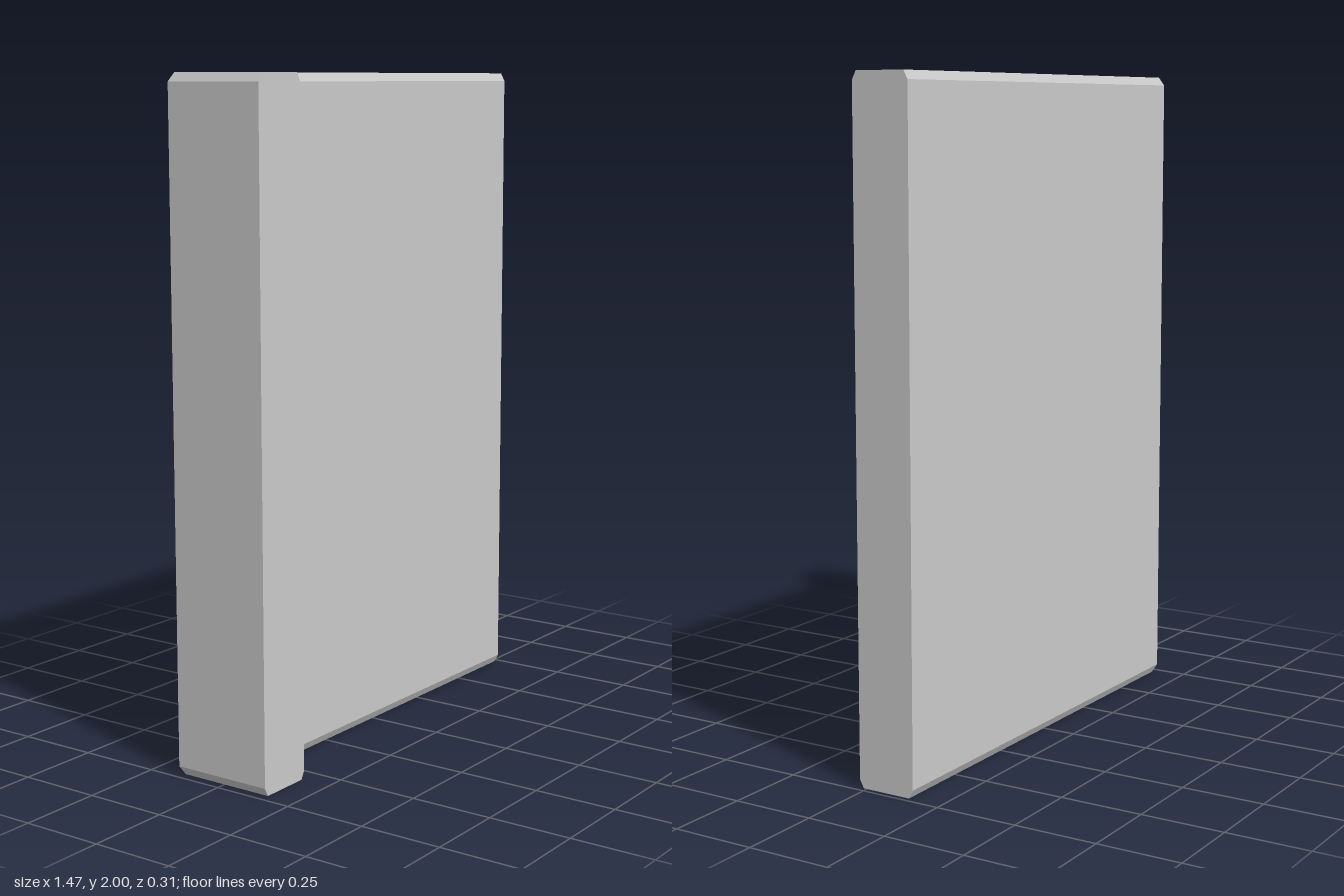
import * as THREE from 'three';

// L-shaped plan, counter-clockwise from above, as (x, -z).
// inset pulls in the long faces only; the two open ends stay flush.
function plan(inset) {
  const left = -0.733 + inset, inner = -0.551 - inset;
  const front = 0.024 - inset, back = -0.157 + inset;
  return [
    [left, 0.157], [inner, 0.157], [inner, front],
    [0.733, front], [0.733, back], [left, back],
  ].map(([x, z]) => new THREE.Vector2(x, -z));
}

// Stacks the plan at several heights, joins the levels and caps both ends.
function loft(levels) {
  const pos = [];
  const put = (level, i) => {
    const p = level.points[i % level.points.length];
    pos.push(p.x, level.y, -p.y);
  };
  for (let k = 0; k < levels.length - 1; k++) {
    const lo = levels[k], hi = levels[k + 1];
    for (let i = 0; i < lo.points.length; i++) {
      put(lo, i); put(lo, i + 1); put(hi, i + 1);
      put(lo, i); put(hi, i + 1); put(hi, i);
    }
  }
  const bottom = levels[0], top = levels[levels.length - 1];
  for (const [a, b, c] of THREE.ShapeUtils.triangulateShape(top.points, [])) {
    put(top, a); put(top, b); put(top, c);
    put(bottom, a); put(bottom, c); put(bottom, b);
  }
  const geo = new THREE.BufferGeometry();
  geo.setAttribute('position', new THREE.Float32BufferAttribute(pos, 3));
  geo.computeVertexNormals();
  return geo;
}

export function createModel() {
  const group = new THREE.Group();
  group.name = 'cornerPanel';

  // Wall panel with a short return, chamfered along its top and bottom edges
  const bevel = 0.013, rise = 0.025;
  const panel = new THREE.Mesh(
    loft([
      { y: 0, points: plan(bevel) },
      { y: rise, points: plan(0) },
      { y: 2 - rise, points: plan(0) },
      { y: 2, points: plan(bevel) },
    ]),
    new THREE.MeshStandardMaterial({ color: 0xcccccc, flatShading: true })
  );
  panel.name = 'panelWithReturn';
  group.add(panel);
  return group;
}
